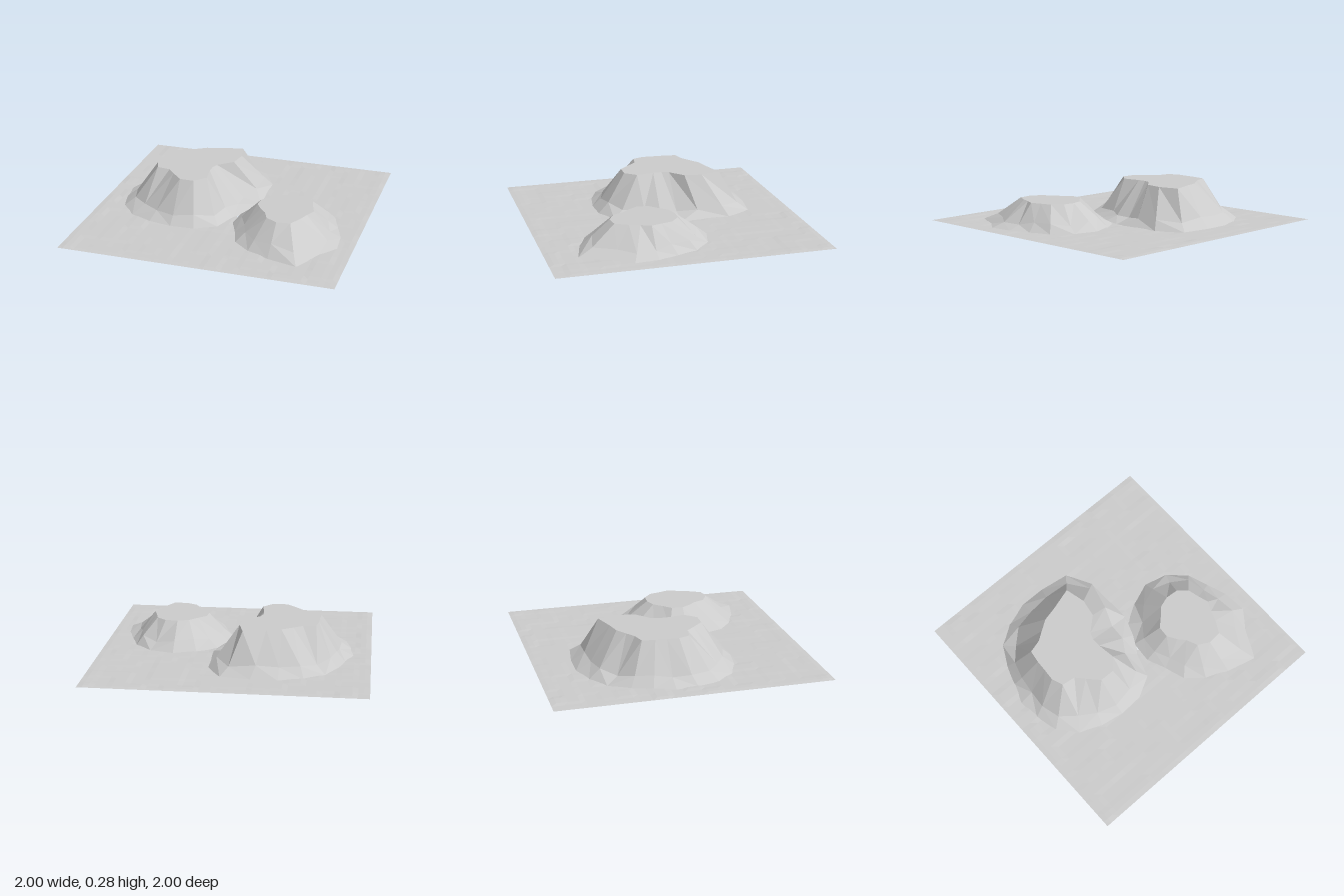
import * as THREE from 'three';

const material = new THREE.MeshStandardMaterial({ color: 0xcccccc, flatShading: true, side: THREE.DoubleSide });

// Rim and foot radii on evenly spaced spokes, turning from +x towards +z
const mesas = [
  {
    name: 'largeMesa', x: -0.36, z: -0.12, height: 0.28, shoulder: 0.66,
    rim: [0.18, 0.17, 0.2, 0.31, 0.35, 0.33, 0.26, 0.23, 0.29, 0.28,
      0.26, 0.27, 0.3, 0.25, 0.26, 0.3, 0.34, 0.46, 0.38, 0.3],
    foot: [0.53, 0.51, 0.49, 0.58, 0.58, 0.56, 0.56, 0.57, 0.56, 0.52,
      0.51, 0.48, 0.5, 0.55, 0.57, 0.6, 0.63, 0.7, 0.64, 0.55],
  },
  {
    name: 'smallMesa', x: 0.46, z: 0.25, height: 0.18, shoulder: 0.62,
    rim: [0.21, 0.19, 0.21, 0.26, 0.25, 0.22, 0.17, 0.18,
      0.21, 0.22, 0.2, 0.22, 0.23, 0.24, 0.23, 0.2],
    foot: [0.42, 0.47, 0.46, 0.57, 0.47, 0.43, 0.41, 0.37,
      0.4, 0.42, 0.45, 0.44, 0.47, 0.46, 0.43, 0.39],
  },
];

// Repeatable noise in 0..1
const noise = (i, j) => {
  const s = Math.sin(i * 12.9898 + j * 78.233) * 43758.5453;
  return s - Math.floor(s);
};

// Adds one triangle, always facing up
function addTriangle(out, a, b, c) {
  const up = (b.z - a.z) * (c.x - a.x) - (b.x - a.x) * (c.z - a.z);
  out.push(...(up >= 0 ? [a, b, c] : [a, c, b]));
}

function makeMesh(name, points) {
  const geometry = new THREE.BufferGeometry().setFromPoints(points);
  geometry.computeVertexNormals();
  const mesh = new THREE.Mesh(geometry, material);
  mesh.name = name;
  return mesh;
}

// Flat top, steep cliff and low apron
function makeMesa({ name, x, z, height, shoulder, rim, foot }) {
  const n = rim.length;
  const ring = (radius, y) => rim.map((_, i) => {
    const angle = (i / n) * Math.PI * 2;
    return new THREE.Vector3(x + radius(i) * Math.cos(angle), y(i), z + radius(i) * Math.sin(angle));
  });
  const rings = [
    ring((i) => rim[i], () => height),
    ring((i) => THREE.MathUtils.lerp(rim[i], foot[i], shoulder + (noise(i, 1) - 0.5) * 0.16),
      (i) => 0.055 + (noise(i, 2) - 0.5) * 0.04),
    ring((i) => foot[i], () => 0),
  ];
  const centre = new THREE.Vector3(x, height, z);
  const tris = [];
  for (let i = 0; i < n; i++) {
    const j = (i + 1) % n;
    addTriangle(tris, centre, rings[0][i], rings[0][j]);
    for (let r = 0; r < 2; r++) {
      const [a, b, c, d] = [rings[r][i], rings[r][j], rings[r + 1][j], rings[r + 1][i]];
      if (noise(i, r + 3) > 0.5) {
        addTriangle(tris, a, b, c);
        addTriangle(tris, a, c, d);
      } else {
        addTriangle(tris, a, b, d);
        addTriangle(tris, b, c, d);
      }
    }
  }
  return makeMesh(name, tris);
}

// True where a ground point lies under a mesa's apron
function isUnder(p, { x, z, foot }) {
  const n = foot.length;
  const turn = (Math.atan2(p.z - z, p.x - x) / (Math.PI * 2) + 1) * n;
  const i = Math.floor(turn);
  const edge = THREE.MathUtils.lerp(foot[i % n], foot[(i + 1) % n], turn - i);
  return Math.hypot(p.x - x, p.z - z) < edge * 0.97;
}

// Gently uneven ground sheet, open beneath the mesas
function makeGround() {
  const n = 50;
  const bump = (i, j) => {
    if (i === 0 || j === 0 || i === n || j === n) return 0;
    return 0.004 * noise(Math.floor(i / 3), Math.floor(j / 3));
  };
  const point = (i, j) => new THREE.Vector3((2 * i) / n - 1, bump(i, j), (2 * j) / n - 1);
  const covered = (...ps) => ps.every((p) => mesas.some((m) => isUnder(p, m)));
  const tris = [];
  for (let i = 0; i < n; i++) {
    for (let j = 0; j < n; j++) {
      const [a, b, c, d] = [point(i, j), point(i + 1, j), point(i + 1, j + 1), point(i, j + 1)];
      if (!covered(a, b, c)) addTriangle(tris, a, b, c);
      if (!covered(a, c, d)) addTriangle(tris, a, c, d);
    }
  }
  return makeMesh('ground', tris);
}

export function createModel() {
  const group = new THREE.Group();
  group.name = 'mesaTerrain';
  group.add(makeGround(), ...mesas.map(makeMesa));
  return group;
}
